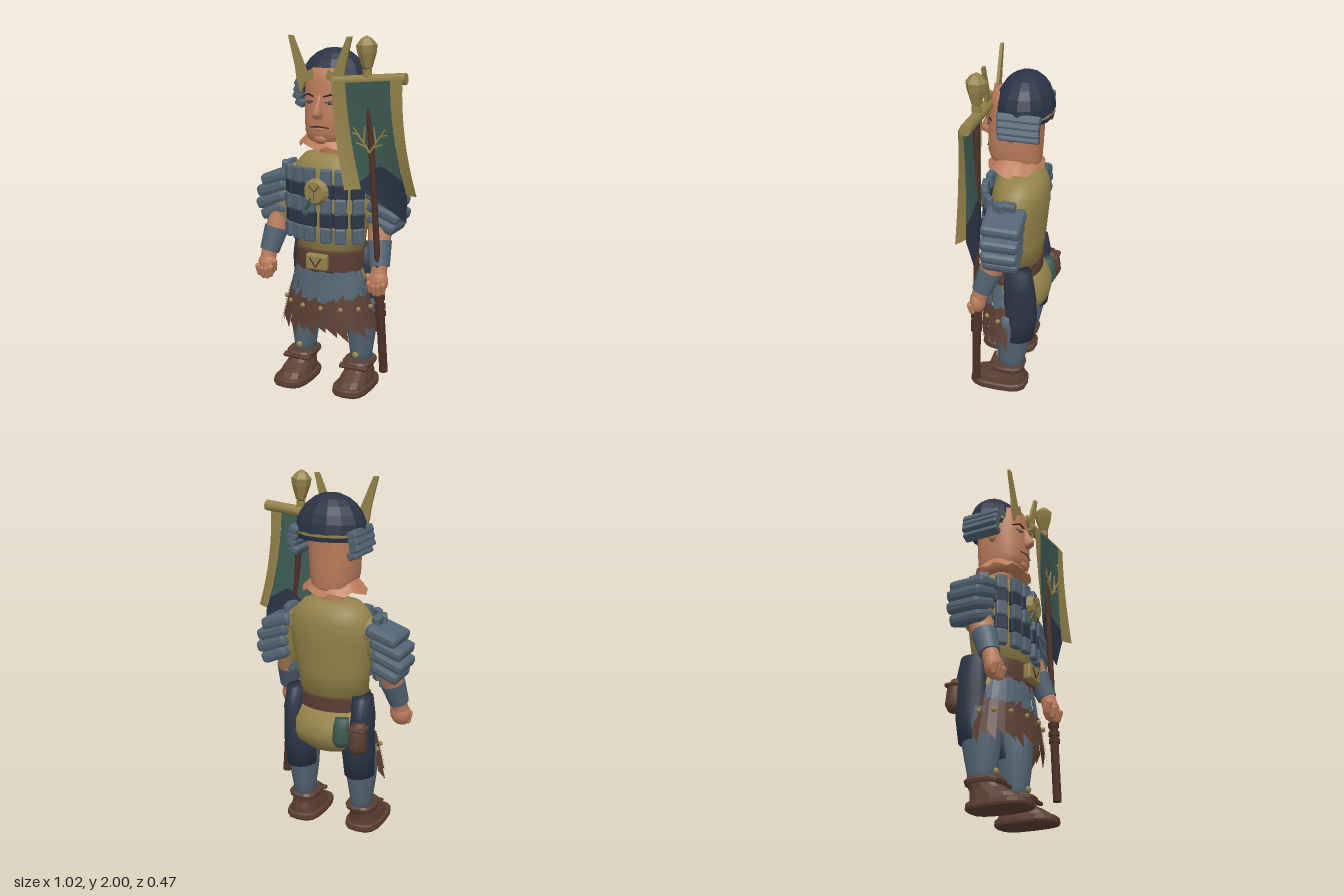
import * as THREE from 'three';
import { RoundedBoxGeometry } from 'three/addons/geometries/RoundedBoxGeometry.js';

const paint = (name, color) => Object.assign(new THREE.MeshStandardMaterial({ color, side: THREE.DoubleSide }), { name });
const V = (x, y, z) => new THREE.Vector3(x, y, z);

export function createModel() {
  const gold = paint('gold', 0x94834a), skin = paint('skin', 0xbb7c5b), navy = paint('navy', 0x2b3446);
  const slate = paint('slate', 0x536473), brown = paint('leather brown', 0x5b3e32), wood = paint('dark wood', 0x4c3027);
  const teal = paint('teal', 0x3d5a53), dark = paint('dark hair', 0x2c211f);

  const root = new THREE.Group();
  root.name = 'armouredBannerman';
  const body = new THREE.Group();
  body.name = 'body';
  body.position.x = -0.065;
  root.add(body);

  const add = (name, geo, mat, pos = [0, 0, 0], rot = [0, 0, 0], parent = body) => {
    const m = new THREE.Mesh(geo, mat);
    m.name = name;
    m.position.set(...pos);
    m.rotation.set(...rot);
    parent.add(m);
    return m;
  };
  const flat = g => { const f = g.index ? g.toNonIndexed() : g; f.computeVertexNormals(); return f; };
  const slab = (w, h, d, r = 0.012) => flat(new RoundedBoxGeometry(w, h, d, 1, r));
  const both = fn => [-1, 1].forEach(fn);

  // Closed skin over rings [y, cx, cz, rx, rz], listed bottom to top
  const loft = (rings, n = 20, p = 2) => {
    const pos = [], idx = [];
    const bend = t => Math.sign(t) * Math.abs(t) ** (2 / p);
    rings.forEach(([y, cx, cz, rx, rz]) => {
      for (let i = 0; i < n; i++) {
        const a = i / n * Math.PI * 2;
        pos.push(cx + rx * bend(Math.cos(a)), y, cz + rz * bend(Math.sin(a)));
      }
    });
    for (let j = 0; j < rings.length - 1; j++) for (let i = 0; i < n; i++) {
      const a = j * n + i, b = j * n + (i + 1) % n;
      idx.push(a, a + n, b, b, a + n, b + n);
    }
    [0, rings.length - 1].forEach(k => {
      const c = pos.length / 3, [y, cx, cz] = rings[k];
      pos.push(cx, y, cz);
      for (let i = 0; i < n; i++) {
        const a = k * n + i, b = k * n + (i + 1) % n;
        idx.push(...(k ? [c, b, a] : [c, a, b]));
      }
    });
    const g = new THREE.BufferGeometry();
    g.setAttribute('position', new THREE.Float32BufferAttribute(pos, 3));
    g.setIndex(idx);
    g.computeVertexNormals();
    return g;
  };

  // Tapered round bar from a to b
  const limb = (name, a, b, ra, rb, mat, parent = body, seg = 14) => {
    const d = b.clone().sub(a);
    const m = add(name, new THREE.CylinderGeometry(rb, ra, d.length(), seg), mat, a.clone().add(b).multiplyScalar(0.5).toArray(), [0, 0, 0], parent);
    m.quaternion.setFromUnitVectors(V(0, 1, 0), d.normalize());
  };
  const ball = (name, mat, p, s, seg = 12) => add(name, new THREE.SphereGeometry(1, seg, 8), mat, p).scale.set(...s);

  // Torso, hips, belt
  add('shirt', loft([[0.78, 0, -0.02, 0.195, 0.14], [0.95, 0, -0.035, 0.21, 0.15], [1.14, 0, -0.045, 0.245, 0.155],
    [1.24, 0, -0.05, 0.245, 0.155], [1.3, 0, -0.05, 0.205, 0.14], [1.34, 0, -0.05, 0.165, 0.11], [1.352, 0, -0.05, 0.1, 0.08]], 28), gold);
  add('hips', loft([[0.5, 0, -0.08, 0.13, 0.09], [0.55, 0, -0.085, 0.215, 0.13], [0.6, 0, -0.07, 0.235, 0.157], [0.67, 0, -0.055, 0.232, 0.165], [0.75, 0, -0.02, 0.198, 0.148]], 24), gold);
  add('belt', loft([[0.7, 0, -0.015, 0.203, 0.155], [0.71, 0, -0.015, 0.208, 0.16], [0.81, 0, -0.015, 0.208, 0.16], [0.82, 0, -0.015, 0.203, 0.155]], 28), brown);
  add('buckle', slab(0.13, 0.09, 0.045), gold, [0, 0.765, 0.155]);
  both(s => limb('buckleMark', V(s * 0.035, 0.79, 0.179), V(0, 0.74, 0.179), 0.004, 0.004, wood, body, 5));

  // Legs and boots, the left foot set slightly back
  both(s => {
    const x = s * 0.182, z = s > 0 ? -0.03 : 0;
    add('thigh', loft([[0.36, x, -0.07, 0.085, 0.1], [0.5, x, -0.09, 0.092, 0.1], [0.62, x + s * 0.015, -0.095, 0.07, 0.095], [0.72, x + s * 0.025, -0.09, 0.064, 0.09], [0.83, x + s * 0.02, -0.085, 0.055, 0.075]], 16), navy);
    add('shin', loft([[0.13, x, -0.04, 0.058, 0.072], [0.2, x, -0.04, 0.064, 0.08], [0.34, x, -0.045, 0.082, 0.104], [0.46, x, -0.045, 0.088, 0.11], [0.53, x, -0.04, 0.08, 0.1]], 16), slate);
    add('sole', flat(loft([[0, x, z + 0.062, 0.102, 0.17], [0.012, x, z + 0.062, 0.106, 0.174], [0.035, x, z + 0.062, 0.104, 0.172], [0.042, x, z + 0.062, 0.094, 0.163]], 16, 3)), brown);
    add('boot', flat(loft([[0.04, x, z + 0.055, 0.09, 0.157], [0.07, x, z + 0.04, 0.084, 0.137], [0.105, x, z / 2, 0.072, 0.1], [0.145, x, -0.03, 0.07, 0.09]], 14, 2.4)), brown);
    add('bootCollar', flat(loft([[0.132, x, -0.02, 0.085, 0.1], [0.15, x, -0.02, 0.09, 0.105], [0.162, x, -0.02, 0.082, 0.096]], 14, 2.8)), brown);
    add('bootStrap', slab(0.17, 0.022, 0.035, 0.006), brown, [x, 0.135, 0.07], [0.3, 0, 0]);
    ball('shinStud', gold, [x, 0.197, 0.04], [0.02, 0.02, 0.015]);
  });

  // Skirt strips flare out around the front, with slanted ends
  const strip = (name, a0, a1, y0, y1, yR, yL, out, mat) => {
    const pt = (a, y) => {
      const t = (0.71 - y) / 0.38;
      return [(0.2 + 0.093 * t + out) * Math.cos(a), y, (0.137 + 0.045 * t + out) * Math.sin(a)];
    };
    const g = new THREE.BufferGeometry();
    g.setAttribute('position', new THREE.Float32BufferAttribute([...pt(a0, y0), ...pt(a1, y1), ...pt(a1, yR), ...pt(a0, yL)], 3));
    g.setIndex([0, 1, 2, 0, 2, 3]);
    add(name, flat(g), mat);
  };
  const strips = 16, arc0 = -0.22, step = (Math.PI - 2 * arc0) / strips;
  for (let i = 0; i < strips; i++) {
    const a = arc0 + i * step, j = (i * 7) % 5 * 0.012, rise = 0.05 * Math.abs(i - 7.5) / 7.5;
    strip('skirtCloth', a, a + step, 0.71, 0.71, 0.46, 0.46, i % 2 * 0.004, slate);
    strip('skirtLeather', a, a + step * 1.1, 0.57 - j + rise, 0.51 + j / 2 + rise, 0.38 + j / 2, 0.315 + j, 0.006 + i % 2 * 0.006, brown);
    if (i % 2) {
      const b = a + step / 2;
      ball('skirtStud', gold, [0.265 * Math.cos(b), 0.5, 0.177 * Math.sin(b)], [0.014, 0.014, 0.014], 8);
    }
  }

  // Pouches on the back of the belt
  add('greenPouch', loft([[0.56, -0.12, -0.185, 0.038, 0.03], [0.6, -0.12, -0.19, 0.05, 0.045], [0.68, -0.12, -0.185, 0.046, 0.042], [0.72, -0.12, -0.175, 0.04, 0.03]], 10), teal);
  add('brownPouch', loft([[0.54, -0.22, -0.185, 0.04, 0.035], [0.58, -0.22, -0.19, 0.052, 0.05], [0.66, -0.22, -0.185, 0.048, 0.046], [0.71, -0.22, -0.175, 0.035, 0.03]], 10), brown);
  add('pouchLid', slab(0.1, 0.025, 0.09), brown, [-0.22, 0.68, -0.185]);

  // Chest armour: upright plates around an ellipse, crossed by dark bands
  both(s => [[0.05, 0.142, 0.15], [0.13, 0.125, 0.35], [0.212, 0.08, 0.75], [0.277, 0.005, 1.15]].forEach(([x, z, turn]) => {
    const col = new THREE.Group();
    col.name = 'chestColumn';
    col.position.set(s * x, 0, z);
    col.rotation.y = s * turn;
    body.add(col);
    [1.243, 1.083, 0.918].forEach(y => add('chestPlate', slab(0.064, 0.09, 0.038, 0.01), slate, [0, y, 0], [0, 0, 0], col));
    [1.163, 1.003].forEach(y => add('chestBand', slab(0.077, 0.085, 0.028, 0.008), navy, [0, y, -0.004], [0, 0, 0], col));
  }));
  add('medallion', flat(new THREE.CylinderGeometry(0.058, 0.076, 0.03, 14)), gold, [0, 1.163, 0.175], [Math.PI / 2, 0, 0]);
  [[-0.03, 1.2], [0.03, 1.2], [0, 1.12]].forEach(([x, y]) => limb('medallionMark', V(0, 1.165, 0.189), V(x, y, 0.189), 0.003, 0.003, wood, body, 5));
  limb('pendantCord', V(-0.02, 1.13, 0.182), V(-0.06, 1.06, 0.175), 0.012, 0.008, teal, body, 8);
  ball('pendant', teal, [-0.065, 1.045, 0.17], [0.02, 0.028, 0.016], 8);

  // Arms with layered shoulder guards
  both(s => {
    const P = (x, y, z) => V(s * x, y, z);
    ball('shoulder', gold, [s * 0.215, 1.2, -0.04], [0.07, 0.075, 0.085], 16);
    limb('sleeve', P(0.235, 1.18, -0.035), P(0.315, 0.96, 0), 0.078, 0.074, gold);
    limb('elbow', P(0.31, 1.0, 0), P(0.325, 0.87, 0.045), 0.066, 0.062, skin);
    limb('bracer', P(0.322, 0.895, 0.04), P(0.346, 0.765, 0.085), 0.07, 0.056, slate);
    limb('wrist', P(0.344, 0.78, 0.085), P(0.348, 0.72, 0.1), 0.045, 0.045, skin);
    ball('palm', skin, [s * 0.347, 0.69, 0.108], [0.058, 0.07, 0.046], 16);
    for (let i = 0; i < 4; i++)
      add('finger', new THREE.CapsuleGeometry(0.017, 0.045, 3, 8), skin, [s * (0.312 + i * 0.025), 0.66 - (i % 3 ? 0.012 : 0), 0.138], [0.25, 0, s * (0.15 - i * 0.1)]);
    add('thumb', new THREE.CapsuleGeometry(0.018, 0.05, 3, 8), skin, [s * 0.3, 0.69, 0.115], [0.3, 0, s * 0.2]);
    [[0.315, 1.195, 0.19], [0.342, 1.13, 0.2], [0.348, 1.06, 0.2], [0.335, 0.995, 0.17]].forEach(([x, y, w], i) =>
      add('shoulderPlate', slab(w, 0.07, 0.215 - i * 0.006, 0.024), slate, [s * x, y, -0.03], [0, 0, -s * (0.32 + 0.03 * i)]));
    add('shoulderClasp', slab(0.045, 0.08, 0.09), slate, [s * 0.262, 1.25, -0.04], [0, 0, -s * 0.2]);
  });

  // Head, neck and ragged skin hem
  limb('neck', V(0, 1.31, -0.04), V(0, 1.46, -0.03), 0.066, 0.07, skin);
  add('head', loft([[1.405, 0, -0.035, 0.1, 0.115], [1.43, 0, -0.022, 0.115, 0.135], [1.48, 0, -0.015, 0.127, 0.145], [1.56, 0, -0.017, 0.132, 0.147],
    [1.66, 0, -0.022, 0.134, 0.147], [1.75, 0, -0.027, 0.13, 0.145], [1.8, 0, -0.03, 0.112, 0.138], [1.82, 0, -0.03, 0.085, 0.12]], 32, 2.4), skin);
  const hem = new THREE.CylinderGeometry(0.125, 0.182, 0.07, 28, 1, true);
  const hp = hem.attributes.position;
  for (let i = 29; i < 58; i++) hp.setY(i, hp.getY(i) + ((i - 29) % 28 * 5 % 7) * 0.005 - 0.01);
  hem.computeVertexNormals();
  add('neckHem', hem, skin, [0, 1.428, -0.02]).scale.z = 0.84;
  add('nose', loft([[1.555, 0, 0.125, 0.018, 0.022], [1.57, 0, 0.132, 0.029, 0.045], [1.59, 0, 0.13, 0.023, 0.05], [1.68, 0, 0.11, 0.012, 0.02]], 12), skin);
  const faceZ = x => -0.018 + 0.147 * (1 - (Math.abs(x) / 0.133) ** 2.4) ** (1 / 2.4);
  both(s => {
    const z = faceZ(0.06);
    ball('ear', skin, [s * 0.134, 1.605, -0.02], [0.02, 0.035, 0.025]);
    ball('eye', slate, [s * 0.062, 1.64, z - 0.001], [0.022, 0.008, 0.005]);
    ball('pupil', dark, [s * 0.062, 1.64, z + 0.002], [0.006, 0.006, 0.004], 8);
    limb('eyelid', V(s * 0.036, 1.646, faceZ(0.036) + 0.001), V(s * 0.088, 1.648, faceZ(0.088) + 0.001), 0.003, 0.002, dark, body, 5);
    limb('browInner', V(s * 0.03, 1.674, faceZ(0.03) + 0.001), V(s * 0.066, 1.686, z + 0.002), 0.005, 0.005, dark, body, 6);
    limb('browOuter', V(s * 0.066, 1.686, z + 0.002), V(s * 0.102, 1.672, faceZ(0.102) + 0.001), 0.005, 0.003, dark, body, 6);
    limb('mouth', V(0, 1.514, faceZ(0) + 0.002), V(s * 0.058, 1.508, faceZ(0.058) + 0.003), 0.004, 0.003, dark, body, 6);
  });
  ball('lowerLip', skin, [0, 1.498, 0.125], [0.035, 0.009, 0.009]);
  ball('chin', skin, [0, 1.445, 0.085], [0.055, 0.035, 0.045]);

  // Helmet with side guards and horns
  add('helmetDome', flat(new THREE.SphereGeometry(1, 14, 6, 0, Math.PI * 2, 0, Math.PI / 2)), navy, [0, 1.725, -0.068]).scale.set(0.195, 0.197, 0.155);
  add('helmetRim', new THREE.CylinderGeometry(1, 1, 0.014, 14, 1), gold, [0, 1.72, -0.068]).scale.set(0.196, 1, 0.156);
  add('helmetLip', new THREE.CylinderGeometry(1, 0.97, 0.025, 14, 1), navy, [0, 1.7, -0.068]).scale.set(0.193, 1, 0.153);
  const horn = new THREE.Shape([[0.187, 1.99], [0.16, 1.99], [0.078, 1.8], [0.05, 1.818], [0.035, 1.77], [0.09, 1.745], [0.112, 1.685], [0.138, 1.76], [0.148, 1.83]].map(p => new THREE.Vector2(...p)));
  both(s => {
    const g = new THREE.ExtrudeGeometry(horn, { depth: 0.016, bevelEnabled: false });
    if (s < 0) g.rotateY(Math.PI).translate(0, 0, 0.016);
    add('horn', g, gold, [0, 0, 0.1]);
    [1.73, 1.695, 1.66, 1.623].forEach((y, i) =>
      add('earGuard', slab(0.055, 0.044, 0.228 - i * 0.003, 0.01), slate, [s * (0.168 + 0.007 * (i % 3)), y, -0.072], [0, 0, s * 0.45]));
  });

  // Banner staff held in the left hand
  const on = y => V(0.21 + (1.85 - y) * 0.0685, y, 0.115);
  const pole = (name, y0, y1, r, mat = wood) => limb(name, on(y0), on(y1), r, r, mat, root, 8);
  pole('staff', 0.55, 1.86, 0.018);
  pole('staffGrip', 0.17, 0.62, 0.025);
  [0.6, 0.55, 0.51].forEach(y => pole('gripRing', y - 0.012, y + 0.012, 0.033));
  pole('finialCollar', 1.795, 1.83, 0.026, gold);
  const finial = new THREE.LatheGeometry([[0, -0.09], [0.026, -0.075], [0.05, 0], [0.056, 0.04], [0.028, 0.073], [0, 0.088]].map(p => new THREE.Vector2(...p)), 6);
  add('finial', flat(finial), gold, [0.21, 1.912, 0.115], [0, 0, 0.05], root);
  limb('crossbar', V(0.015, 1.755, 0.11), V(0.427, 1.79, 0.11), 0.03, 0.03, gold, root, 8);

  // Cloth sheet: u runs across the banner, v runs down, edges curl forward towards the bottom
  const cloth = (name, u0, u1, top, bottom, mat) => {
    const g = new THREE.PlaneGeometry(1, 1, 8, 8), p = g.attributes.position, uv = g.attributes.uv;
    for (let i = 0; i < p.count; i++) {
      const u = u0 + (u1 - u0) * uv.getX(i), t = 1 - uv.getY(i), v = top(u) + (bottom(u) - top(u)) * t;
      const left = 0.02 + 0.03 * v + 0.05 * v * v, right = 0.42 - 0.01 * v + 0.095 * v * v;
      p.setXYZ(i, left + (right - left) * u, 1.75 + 0.035 * u - 0.57 * v, 0.145 - 0.055 * v + 0.06 * v * (2 * u - 1) ** 2);
    }
    g.computeVertexNormals();
    add(name, g, mat, [0, 0, 0], [0, 0, 0], root);
  };
  const at = v => () => v, split = u => 0.85 + 0.07 * Math.sin(u * 9);
  const point = u => 1.31 - Math.abs(u - 0.6725) * (u < 0.6725 ? 0.65 : 1.6);
  cloth('bannerBorderLeft', 0, 0.2, at(0), at(0.99), gold);
  cloth('bannerBorderRight', 0.83, 1, at(0), at(1.04), gold);
  cloth('bannerField', 0.2, 0.83, at(0), split, teal);
  cloth('bannerTip', 0.2, 0.83, split, point, navy);

  // Branch emblem on the banner
  both(s => [[0, 1.4, 0.09, 1.53], [0.035, 1.45, 0.025, 1.54], [0.06, 1.49, 0.1, 1.5], [0.02, 1.43, 0.075, 1.45]].forEach(([x0, y0, x1, y1]) =>
    limb('emblemBranch', V(0.243 + s * x0, y0, 0.145), V(0.243 + s * x1, y1, 0.153), 0.007, 0.004, gold, root, 5)));
  return root;
}
